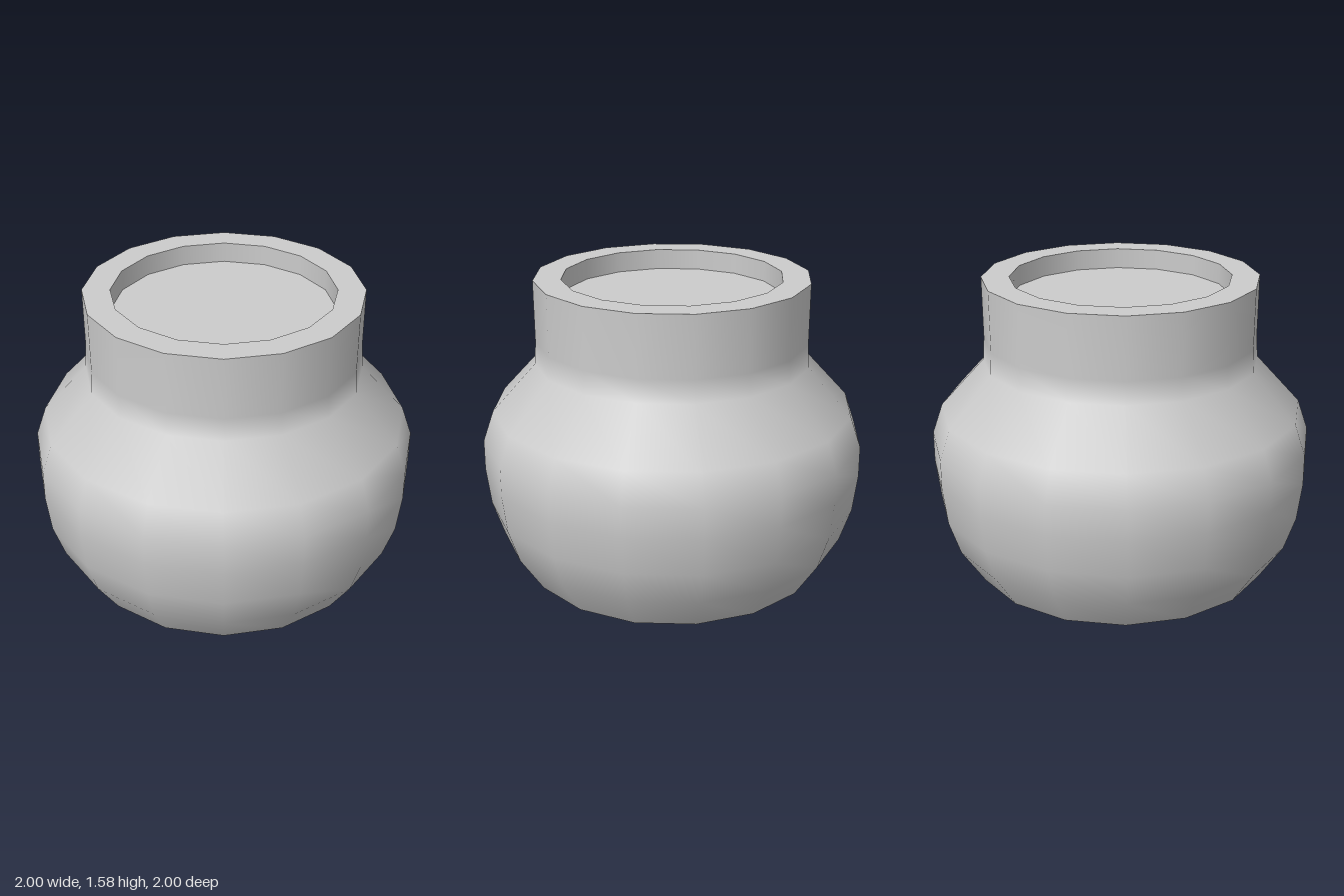
import * as THREE from 'three';

const SIDES = 16;
const TOP = 1.58;
const FLOOR = 1.473;

export function createModel() {
  const group = new THREE.Group();
  group.name = 'pot';
  const material = new THREE.MeshStandardMaterial({ color: 0xcccccc });

  // One lathe per smooth surface, so the edges between them stay sharp
  const turn = (name, points) => {
    const profile = points.map(([r, y]) => new THREE.Vector2(r, y));
    const mesh = new THREE.Mesh(new THREE.LatheGeometry(profile, SIDES), material);
    mesh.name = name;
    group.add(mesh);
  };

  // Flat underside
  turn('base', [[0, 0], [0.79, 0]]);

  // Round belly, sloping shoulder and upright neck
  turn('body', [
    [0.79, 0], [0.915, 0.19], [0.975, 0.37], [1, 0.57], [1, 0.73],
    [0.945, 0.89], [0.717, 1.14], [0.71, 1.26], [0.713, TOP],
  ]);

  // Flat rim and the shallow recess inside it
  turn('rim', [[0.713, TOP], [0.57, TOP]]);
  turn('recessWall', [[0.57, TOP], [0.57, FLOOR]]);
  turn('recessFloor', [[0.57, FLOOR], [0, FLOOR]]);

  return group;
}
